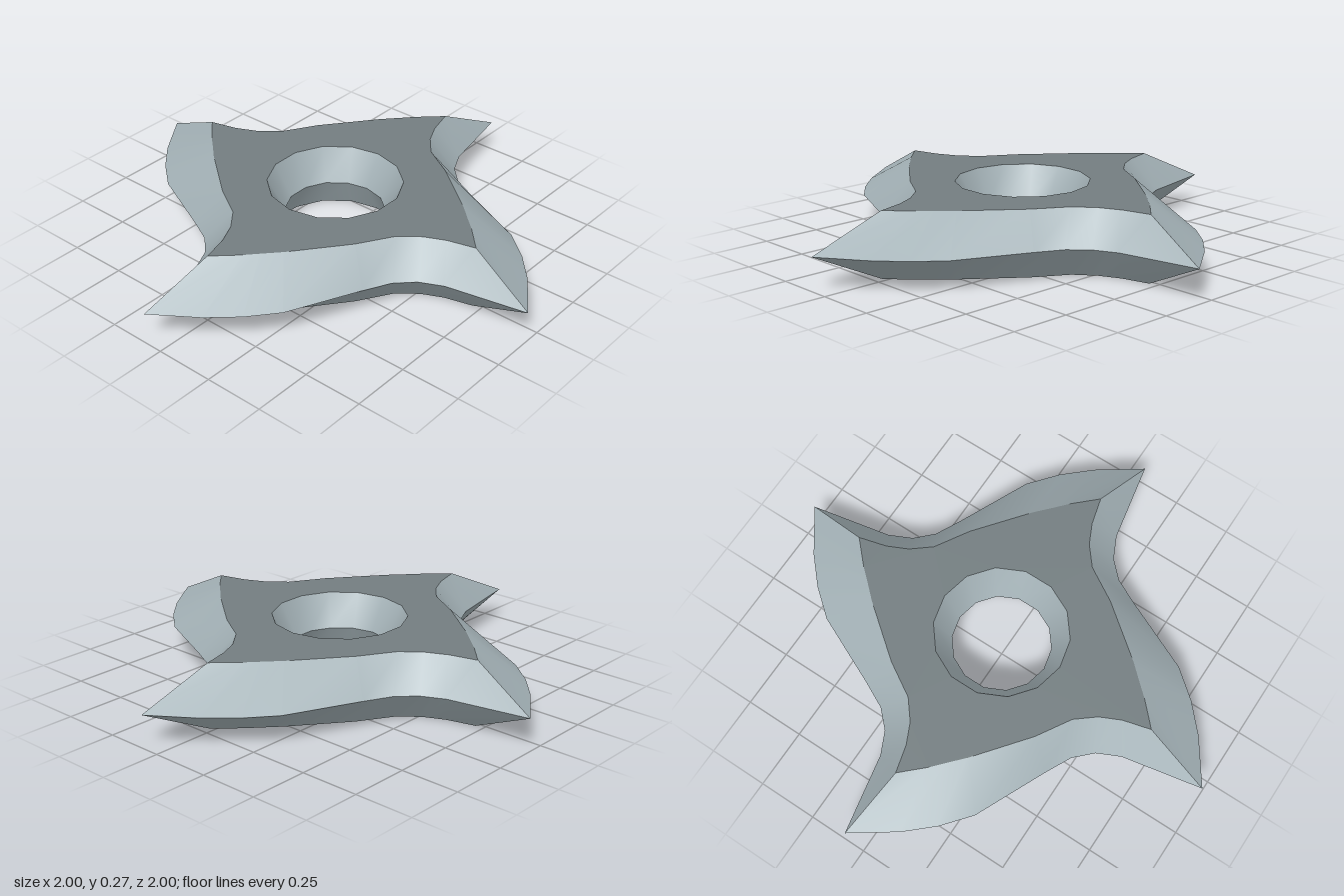
import * as THREE from 'three';
import { toCreasedNormals } from 'three/addons/utils/BufferGeometryUtils.js';

const HEIGHT = 0.27;
const HOLE_SIDES = 14;

// One quarter of each outline as [x, z]; the rest follows by quarter turns.
const EDGE = [[0.075, -1], [0.14, -0.665], [0.185, -0.57], [0.255, -0.5],
  [0.365, -0.445], [0.66, -0.31], [0.775, -0.215], [0.875, -0.105]];
const FACE = [[0.02, -0.715], [0.05, -0.6], [0.09, -0.515], [0.155, -0.435],
  [0.295, -0.35], [0.51, -0.18], [0.575, -0.12], [0.625, -0.075]];

function fourfold(quarter) {
  const points = [];
  for (let turn = 0; turn < 4; turn++) {
    for (let [x, z] of quarter) {
      for (let i = 0; i < turn; i++) [x, z] = [-z, x];
      points.push([x, z]);
    }
  }
  return points;
}

function circle(radius) {
  return Array.from({ length: HOLE_SIDES }, (_, i) => {
    const a = -((i + 0.5) / HOLE_SIDES) * Math.PI * 2;
    return [radius * Math.sin(a), -radius * Math.cos(a)];
  });
}

// Wall through closed loops at the top, middle and bottom.
function wall(face, middle) {
  const levels = [[face, HEIGHT], [middle, HEIGHT / 2], [face, 0]];
  const positions = [];
  const n = face.length;
  for (let l = 0; l < 2; l++) {
    const [upper, yu] = levels[l];
    const [lower, yl] = levels[l + 1];
    for (let i = 0; i < n; i++) {
      const j = (i + 1) % n;
      const at = (p, y) => [p[0], y, p[1]];
      const a = at(upper[i], yu), b = at(upper[j], yu);
      const c = at(lower[j], yl), d = at(lower[i], yl);
      positions.push(...a, ...b, ...c, ...a, ...c, ...d);
    }
  }
  const geometry = new THREE.BufferGeometry();
  geometry.setAttribute('position', new THREE.Float32BufferAttribute(positions, 3));
  geometry.computeVertexNormals();
  return toCreasedNormals(geometry, 0.52);
}

// Flat face with the central hole; side is 1 for the top and -1 for the bottom.
function plate(outline, hole, side) {
  const flat = (loop) => loop.map(([x, z]) => new THREE.Vector2(x, -side * z));
  const shape = new THREE.Shape(flat(outline));
  shape.holes.push(new THREE.Path(flat(hole)));
  const geometry = new THREE.ShapeGeometry(shape);
  geometry.rotateX(-side * Math.PI / 2);
  geometry.translate(0, side > 0 ? HEIGHT : 0, 0);
  return geometry;
}

export function createModel() {
  const group = new THREE.Group();
  group.name = 'throwingStar';

  const brightSteel = new THREE.MeshStandardMaterial({ color: 0xa3b1b6 });
  brightSteel.name = 'brightSteel';
  const darkSteel = new THREE.MeshStandardMaterial({ color: 0x737d80 });
  darkSteel.name = 'darkSteel';

  const add = (name, geometry, material) => {
    const mesh = new THREE.Mesh(geometry, material);
    mesh.name = name;
    group.add(mesh);
  };

  const face = fourfold(FACE);
  const rim = circle(0.277);
  add('sharpenedEdge', wall(face, fourfold(EDGE)), brightSteel);
  add('holeWall', wall(rim, circle(0.205)), brightSteel);
  add('topFace', plate(face, rim, 1), darkSteel);
  add('bottomFace', plate(face, rim, -1), darkSteel);
  return group;
}
